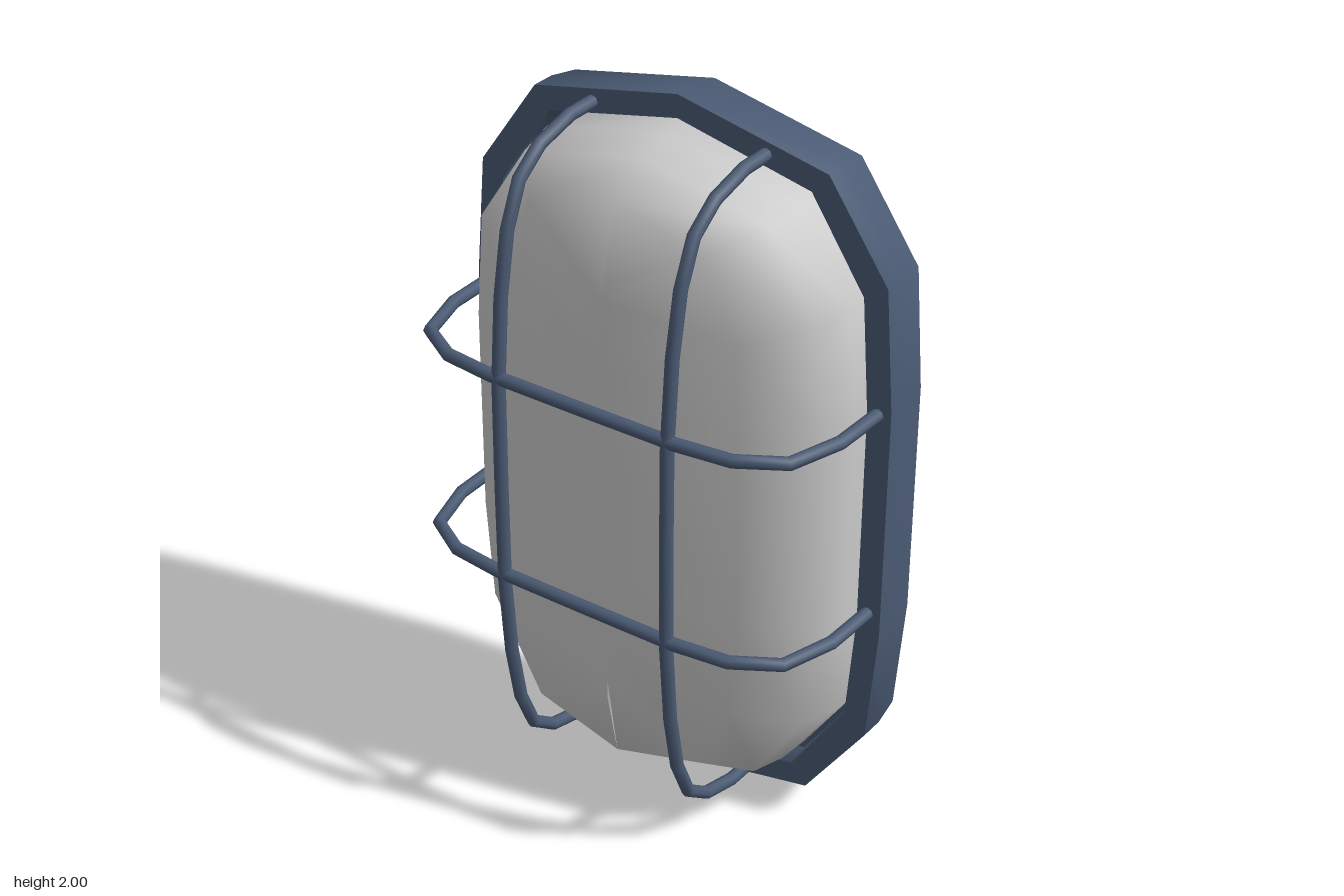
import * as THREE from 'three';
import { mergeVertices, toCreasedNormals } from 'three/addons/utils/BufferGeometryUtils.js';

// Faceted oval outline with half width and half height 1, counter-clockwise from the front
const quarter = [[1, 0.33], [0.958, 0.66], [0.683, 0.91]];
const flip = (pts, sx, sy) => pts.map(([x, y]) => [x * sx, y * sy]);
const outline = [
  ...quarter, [0, 1], ...flip(quarter, -1, 1).reverse(),
  ...flip(quarter, -1, -1), [0, -1], ...flip(quarter, 1, -1).reverse(),
];

// Joins scaled outlines, each given as [half width, half height, z]
function loft(rings) {
  const n = outline.length;
  const pos = [];
  const index = [];
  for (const [w, h, z] of rings) {
    for (const [x, y] of outline) pos.push(x * w, 1 + y * h, z);
  }
  for (let i = 0; i < rings.length - 1; i++) {
    for (let j = 0; j < n; j++) {
      const a = i * n + j;
      const b = i * n + (j + 1) % n;
      index.push(a, b, b + n, a, b + n, a + n);
    }
  }
  const geo = new THREE.BufferGeometry();
  geo.setAttribute('position', new THREE.Float32BufferAttribute(pos, 3));
  geo.setIndex(index);
  const merged = mergeVertices(geo, 1e-4);
  merged.computeVertexNormals();
  return merged;
}

// Round bar bent sharply at each given point
function bar(points, name, material) {
  const curve = new THREE.CatmullRomCurve3(points);
  curve.getPointAt = curve.getPoint;
  curve.getTangentAt = curve.getTangent;
  const mesh = new THREE.Mesh(new THREE.TubeGeometry(curve, points.length - 1, 0.018, 8), material);
  mesh.name = name;
  return mesh;
}

// Half of a symmetric path as [offset, z], mirrored to the other end
const mirrorPath = (half) => [...half, ...half.slice(0, -1).reverse().map(([d, z]) => [-d, z])];

export function createModel() {
  const group = new THREE.Group();
  group.name = 'bulkheadLight';
  const paint = new THREE.MeshStandardMaterial({ color: 0x4a5a73 });
  const glass = new THREE.MeshStandardMaterial({ color: 0xcccccc });

  // Housing: closed back, slightly tapered wall, front rim and recess
  const housing = new THREE.Mesh(toCreasedNormals(loft([
    [0, 0, -0.29], [0.626, 0.985, -0.288], [0.638, 1, -0.2], [0.638, 1, -0.13],
    [0.57, 0.937, -0.13], [0.565, 0.93, -0.2], [0, 0, -0.2],
  ]), 0.85), paint);
  housing.name = 'housing';
  group.add(housing);

  // Lens: rounded dome ending in a ridge along the vertical centre line
  const lens = new THREE.Mesh(loft([
    [0.56, 0.91, -0.2], [0.553, 0.905, -0.1], [0.528, 0.885, 0.01],
    [0.375, 0.82, 0.13], [0, 0.62, 0.172],
  ]), glass);
  lens.name = 'lens';
  group.add(lens);

  // Guard cage
  const cage = new THREE.Group();
  cage.name = 'guardCage';
  const tall = mirrorPath([
    [0.913, -0.18], [0.911, -0.04], [0.88, 0.08], [0.818, 0.165],
    [0.7, 0.217], [0.53, 0.249], [0.3, 0.268], [0, 0.27],
  ]);
  const wide = mirrorPath([
    [0.6, -0.18], [0.595, 0.03], [0.549, 0.18], [0.433, 0.25], [0.28, 0.268], [0, 0.269],
  ]);
  for (const x of [-0.257, 0.257]) {
    cage.add(bar(tall.map(([d, z]) => new THREE.Vector3(x, 1 + d, z)), 'verticalBar', paint));
  }
  for (const y of [0.725, 1.312]) {
    cage.add(bar(wide.map(([d, z]) => new THREE.Vector3(d, y, z)), 'horizontalBar', paint));
  }
  group.add(cage);
  return group;
}
